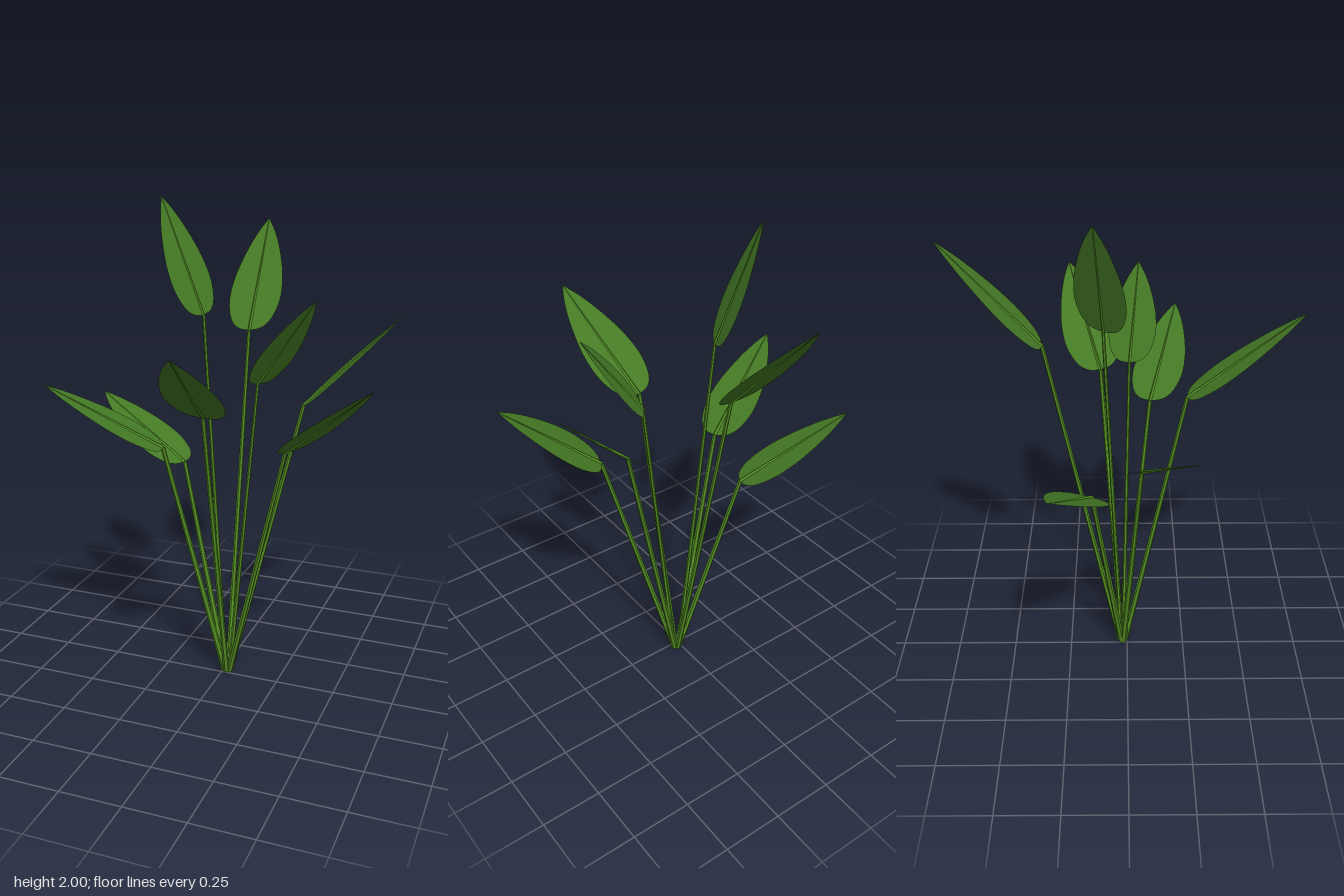
import * as THREE from 'three';

const leafGreen = new THREE.MeshStandardMaterial({ name: 'leafGreen', color: 0x457a25, side: THREE.DoubleSide });
const stemGreen = new THREE.MeshStandardMaterial({ name: 'stemGreen', color: 0x528c22, flatShading: true });

const UP = new THREE.Vector3(0, 1, 0);
const ROOT = new THREE.Vector3(0.02, 0, -0.02);

// Each shoot: stem top, leaf tip, heading of the leaf plane in degrees, leaf half width, stem radius
const SHOOTS = [
  { top: [-0.11, 1.54, -0.09], tip: [-0.3, 2.0, -0.12], heading: 154, half: 0.105, r: 0.01 },
  { top: [0.0, 1.44, -0.33], tip: [-0.04, 1.87, -0.71], heading: 87, half: 0.115, r: 0.012 },
  { top: [0.015, 1.21, 0.24], tip: [0.08, 1.54, 0.705], heading: -92, half: 0.117, r: 0.013 },
  { top: [0.155, 1.3, 0.01], tip: [0.395, 1.65, 0.05], heading: -29, half: 0.105, r: 0.01 },
  { top: [0.31, 1.2, -0.11], tip: [0.665, 1.56, -0.25], heading: 9, half: 0.115, r: 0.013 },
  { top: [0.3, 1.06, 0.1], tip: [0.665, 1.37, 0.22], heading: -30, half: 0.115, r: 0.013 },
  { top: [-0.235, 1.01, 0.055], tip: [-0.665, 1.28, 0.24], heading: 191, half: 0.115, r: 0.014 },
  { top: [-0.22, 0.89, -0.14], tip: [-0.665, 1.13, -0.28], heading: 150, half: 0.11, r: 0.014 },
];

// Half outline of a blade as [fraction of half width, fraction of length]
const OUTLINE = [[0.42, 0.02], [0.73, 0.08], [0.93, 0.19], [1, 0.32], [0.91, 0.5], [0.64, 0.71], [0.34, 0.87]];

// Tapered rod between two points
function rod(name, from, to, r0, r1, sides) {
  const dir = to.clone().sub(from);
  const mesh = new THREE.Mesh(new THREE.CylinderGeometry(r1, r0, dir.length(), sides), stemGreen);
  mesh.position.copy(from).addScaledVector(dir, 0.5);
  mesh.quaternion.setFromUnitVectors(UP, dir.normalize());
  mesh.name = name;
  return mesh;
}

// Flat pointed blade growing along +y, facing +z
function bladeGeometry(half, length) {
  const pts = (sign) => OUTLINE.map(([w, t]) => new THREE.Vector2(sign * w * half, t * length));
  const tip = new THREE.Vector2(0, length);
  const shape = new THREE.Shape();
  shape.moveTo(0, 0);
  shape.splineThru([...pts(1), tip]);
  shape.splineThru([...pts(-1).reverse(), new THREE.Vector2(0, 0)]);
  return new THREE.ShapeGeometry(shape, 4);
}

function makeShoot({ top, tip, heading, half, r }) {
  const shoot = new THREE.Group();
  shoot.name = 'shoot';
  const a = new THREE.Vector3(...top);
  const b = new THREE.Vector3(...tip);

  // Stem, its foot set slightly outward from the root
  const foot = a.clone().sub(ROOT).setY(0).setLength(0.012).add(ROOT);
  shoot.add(rod('stem', foot, a, r, r * 0.65, 6));

  // Blade turned so that its upper face leans back along the heading
  const dir = b.clone().sub(a);
  const length = dir.length();
  dir.normalize();
  const rad = THREE.MathUtils.degToRad(heading);
  const h = new THREE.Vector3(Math.cos(rad), 0, -Math.sin(rad));
  const normal = h.clone().multiplyScalar(-dir.y).addScaledVector(UP, h.dot(dir)).normalize();
  const side = dir.clone().cross(normal);
  const blade = new THREE.Mesh(bladeGeometry(half, length), leafGreen);
  blade.name = 'leafBlade';
  blade.quaternion.setFromRotationMatrix(new THREE.Matrix4().makeBasis(side, dir, normal));
  blade.position.copy(a);
  shoot.add(blade);

  // Midrib running through the blade
  const rib = rod('midrib', a, b, r * 0.55, 0.0008, 4);
  rib.quaternion.copy(blade.quaternion);
  shoot.add(rib);
  return shoot;
}

export function createModel() {
  const plant = new THREE.Group();
  plant.name = 'plant';
  SHOOTS.forEach((s) => plant.add(makeShoot(s)));
  return plant;
}
